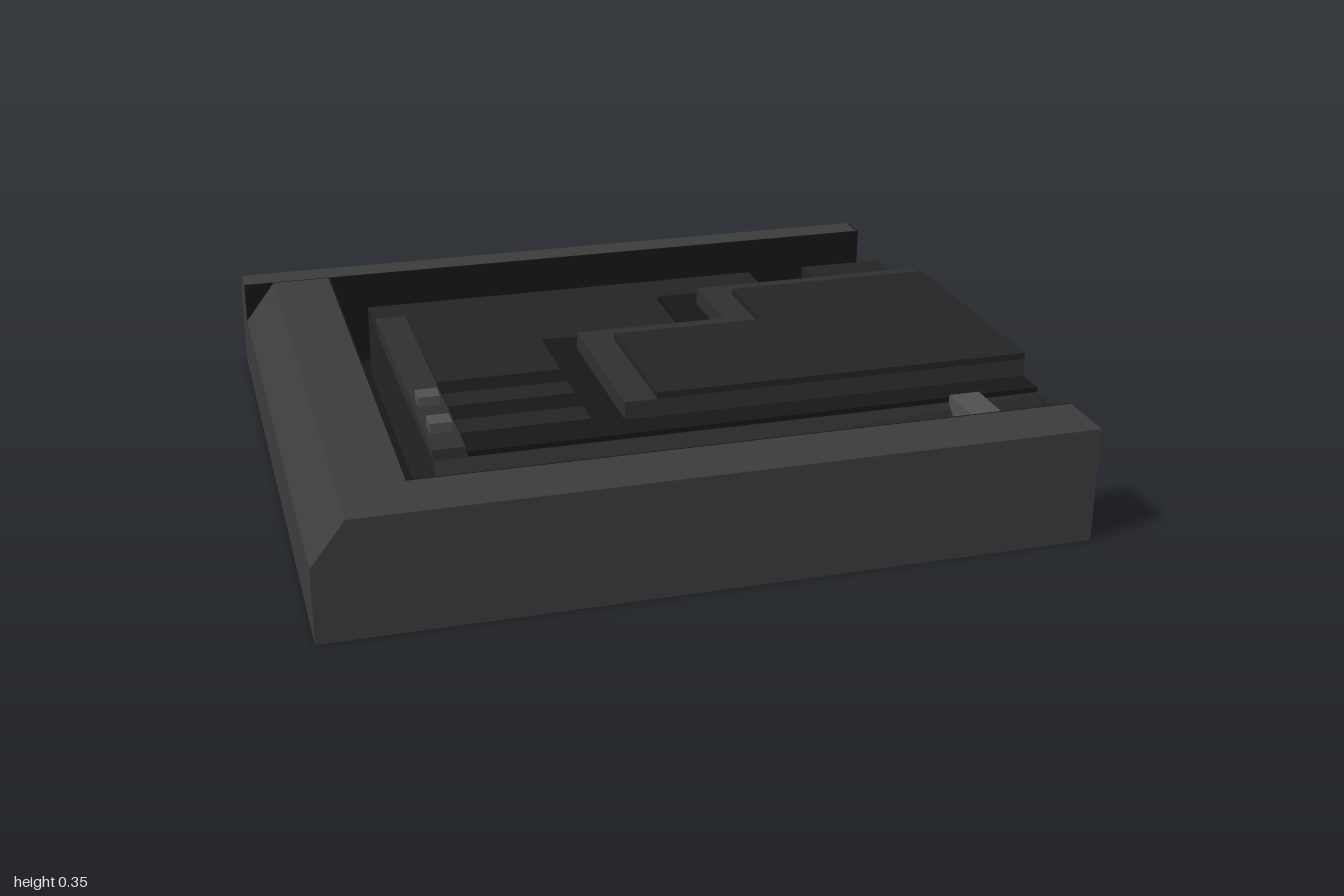
import * as THREE from 'three';

const mat = (color) => new THREE.MeshStandardMaterial({ color, flatShading: true });

export function createModel() {
  const model = new THREE.Group();
  const frame = mat(0x3c3c3c), dark = mat(0x171717), chip = mat(0x242424);
  const trim = mat(0x303030), light = mat(0x505050);

  const add = (name, geometry, material) => {
    const mesh = new THREE.Mesh(geometry, material);
    mesh.name = name;
    model.add(mesh);
  };
  // Box given by its minimum and maximum on each axis
  const box = (name, material, x0, x1, y0, y1, z0, z1) => {
    const g = new THREE.BoxGeometry(x1 - x0, y1 - y0, z1 - z0);
    g.translate((x0 + x1) / 2, (y0 + y1) / 2, (z0 + z1) / 2);
    add(name, g, material);
  };
  const extrude = (points, depth) => new THREE.ExtrudeGeometry(
    new THREE.Shape(points.map(([a, b]) => new THREE.Vector2(a, b))),
    { depth, bevelEnabled: false });
  // Profile of [z, y] points swept along x
  const alongX = (name, material, points, x0, x1) => add(name,
    extrude(points.map(([z, y]) => [-z, y]), x1 - x0).rotateY(Math.PI / 2).translate(x0, 0, 0), material);
  // Footprint of [x, z] points raised from y0 to y1
  const plate = (name, material, points, y0, y1) => add(name,
    extrude(points.map(([x, z]) => [x, -z]), y1 - y0).rotateX(-Math.PI / 2).translate(0, y0, 0), material);

  // Three-sided frame with bevelled back and side, open at +x
  const backProfile = [[-0.745, 0], [-0.745, 0.315], [-0.83, 0.315], [-0.912, 0.21], [-0.912, 0]];
  alongX('backWall', frame, backProfile, -1, 0.995);
  alongX('backWallEnd', dark, backProfile, 0.995, 1);
  add('sideWall', extrude([[-1, 0], [-0.745, 0], [-0.745, 0.315], [-0.912, 0.315], [-1, 0.2]], 1.652)
    .translate(0, 0, -0.74), frame);
  box('frontWall', frame, -0.745, 1, 0, 0.315, 0.745, 0.912);

  // Dark floor and inner wall lining
  box('floor', dark, -0.74, 1, 0, 0.03, -0.74, 0.74);
  box('backLining', dark, -1, 1, 0, 0.315, -0.745, -0.74);
  box('frontLining', dark, -0.745, 1, 0, 0.315, 0.74, 0.745);
  box('sideLining', dark, -0.745, -0.74, 0, 0.315, -0.74, 0.74);
  box('pedestal', dark, -0.62, 0.98, 0.03, 0.056, -0.37, 0.62);

  // Main block with a chamfered front and a notch at the back
  alongX('mainBlock', chip,
    [[0.65, 0.056], [0.65, 0.2], [0.565, 0.272], [-0.39, 0.272], [-0.39, 0.056]], -0.65, 1);
  box('backBlock', chip, -0.65, 0.56, 0.056, 0.272, -0.565, -0.39);
  box('backBlock', chip, 0.74, 1, 0.056, 0.272, -0.565, -0.39);

  // Stepped stack of plates
  plate('lowerPlate', dark, [[1, -0.39], [0.21, -0.39], [0.21, -0.135], [-0.56, -0.135],
    [-0.56, 0.56], [1, 0.56]], 0.272, 0.286);
  plate('middlePlate', trim, [[1, -0.3], [0.305, -0.3], [0.305, -0.04], [-0.13, -0.04],
    [-0.13, 0.475], [1, 0.475]], 0.286, 0.335);
  plate('topPlate', chip, [[1, -0.22], [0.39, -0.22], [0.39, 0.04], [-0.043, 0.04],
    [-0.043, 0.475], [1, 0.475]], 0.335, 0.353);

  // Raised fingers beside the stack
  for (const [z0, z1] of [[-0.135, 0.13], [0.215, 0.3], [0.39, 0.475]])
    box('finger', chip, -0.56, -0.22, 0.286, 0.3, z0, z1);

  // Rail with two small studs
  box('rail', trim, -0.65, -0.565, 0.26, 0.3, -0.39, 0.56);
  for (const z of [0.258, 0.432])
    box('stud', light, -0.638, -0.58, 0.3, 0.327, z - 0.028, z + 0.028);

  // Bracket joining the block to the front wall
  box('bracket', light, 0.74, 0.825, 0.14, 0.295, 0.565, 0.74);

  return model;
}
